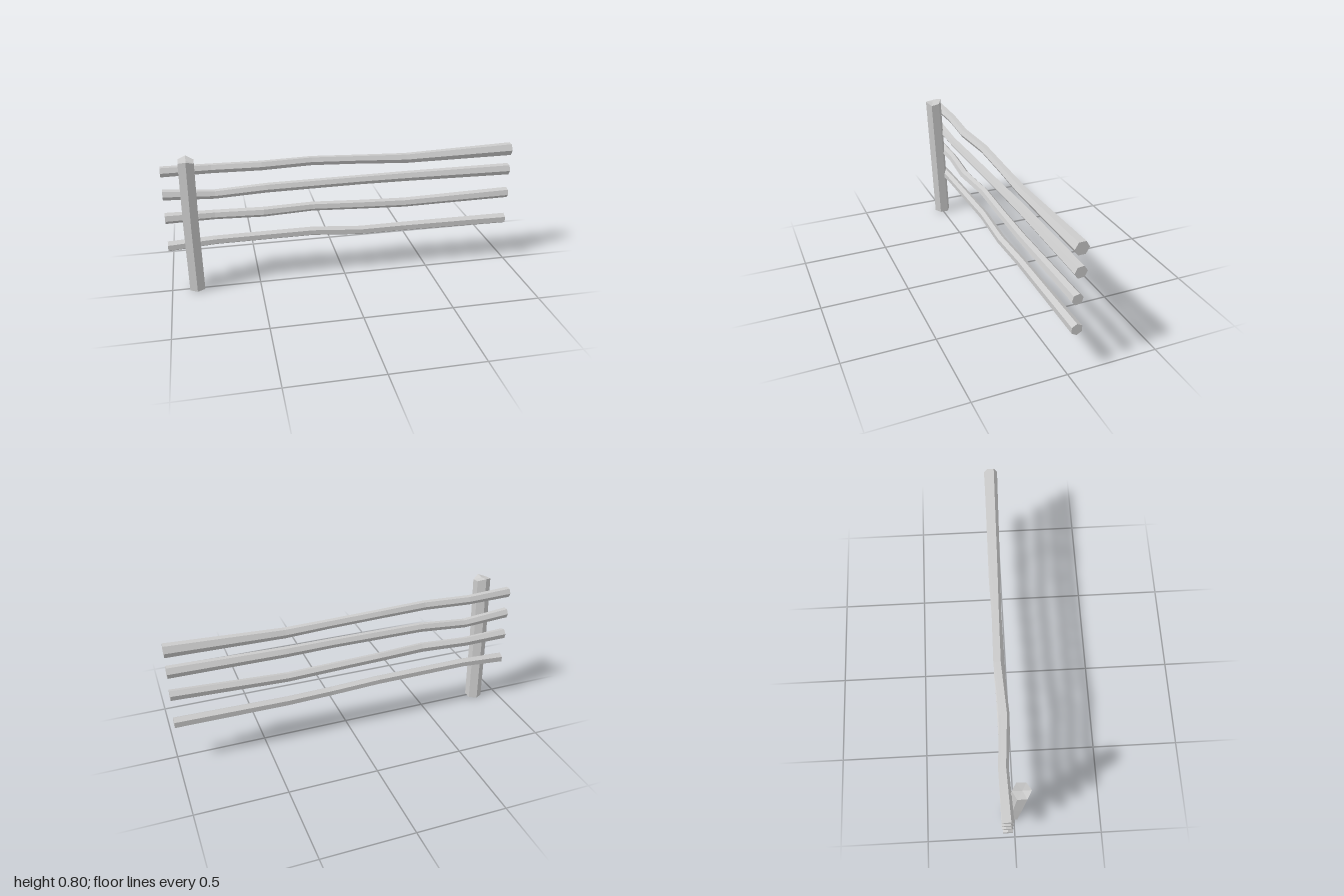
import * as THREE from 'three';

const SIDES = 6;
const material = new THREE.MeshStandardMaterial({ color: 0xcccccc, flatShading: true });

// Skin a list of six-sided rings, with a fan cap at each end
function loft(rings, name, endCentre) {
  const pos = [];
  const tri = (...pts) => pts.forEach((p) => pos.push(p.x, p.y, p.z));
  const middle = (ring) =>
    ring.reduce((sum, p) => sum.add(p), new THREE.Vector3()).divideScalar(SIDES);
  const first = rings[0];
  const last = rings[rings.length - 1];
  const startCentre = middle(first);
  const tip = endCentre || middle(last);
  for (let j = 0; j < SIDES; j++) {
    const k = (j + 1) % SIDES;
    for (let i = 0; i < rings.length - 1; i++) {
      const a = rings[i], b = rings[i + 1];
      tri(a[j], a[k], b[k]);
      tri(a[j], b[k], b[j]);
    }
    tri(startCentre, first[k], first[j]);
    tri(tip, last[j], last[k]);
  }
  const geometry = new THREE.BufferGeometry();
  geometry.setAttribute('position', new THREE.Float32BufferAttribute(pos, 3));
  geometry.computeVertexNormals();
  const mesh = new THREE.Mesh(geometry, material);
  mesh.name = name;
  return mesh;
}

// Wobbly rail along x; stations are [x, y, z, radius]
function makeRail(name, turn, stations) {
  const rings = stations.map(([x, y, z, r]) =>
    Array.from({ length: SIDES }, (_, j) => {
      const a = turn + (j * Math.PI) / 3;
      return new THREE.Vector3(x, y + r * Math.cos(a), z + r * Math.sin(a));
    }));
  return loft(rings, name);
}

// Leaning post with a roughly hewn top
function makePost() {
  const topHeights = [0.79, 0.772, 0.78, 0.797, 0.785, 0.778];
  const ring = (x, z, heights) =>
    heights.map((y, j) => {
      const a = (j * Math.PI) / 3;
      return new THREE.Vector3(x + 0.048 * Math.sin(a), y, z + 0.049 * Math.cos(a));
    });
  return loft([
    ring(-0.86, -0.005, Array(SIDES).fill(0)),
    ring(-0.863, 0.013, Array(SIDES).fill(0.4)),
    ring(-0.86, 0.032, topHeights),
  ], 'post', new THREE.Vector3(-0.86, 0.787, 0.035));
}

export function createModel() {
  const group = new THREE.Group();
  group.name = 'fence';
  const flat = Math.PI / 6; // flat side up

  group.add(
    makePost(),
    makeRail('topRail', flat, [
      [-1, 0.705, -0.04, 0.03], [-0.73, 0.702, -0.05, 0.027], [-0.46, 0.705, -0.031, 0.027],
      [-0.18, 0.707, -0.048, 0.026], [0.1, 0.697, -0.044, 0.026],
      [0.36, 0.686, -0.04, 0.029], [0.995, 0.7, -0.035, 0.038],
    ]),
    makeRail('upperRail', flat + 0.08, [
      [-1, 0.571, -0.042, 0.03], [-0.72, 0.552, -0.046, 0.026], [-0.44, 0.57, -0.036, 0.027],
      [0.1, 0.574, -0.042, 0.027], [0.36, 0.573, -0.047, 0.029], [0.995, 0.574, -0.038, 0.034],
    ]),
    makeRail('lowerRail', flat + 0.25, [
      [-1, 0.431, -0.043, 0.031], [-0.73, 0.428, -0.05, 0.027], [-0.46, 0.43, -0.028, 0.028],
      [-0.18, 0.431, -0.048, 0.026], [0.1, 0.42, -0.044, 0.026],
      [0.36, 0.411, -0.043, 0.027], [0.995, 0.428, -0.03, 0.031],
    ]),
    makeRail('bottomRail', 0, [
      [-1, 0.261, -0.04, 0.031], [-0.74, 0.276, -0.04, 0.027], [-0.18, 0.276, -0.046, 0.027],
      [0.1, 0.258, -0.038, 0.027], [0.36, 0.256, -0.045, 0.028], [0.995, 0.256, -0.037, 0.032],
    ]),
  );
  return group;
}
